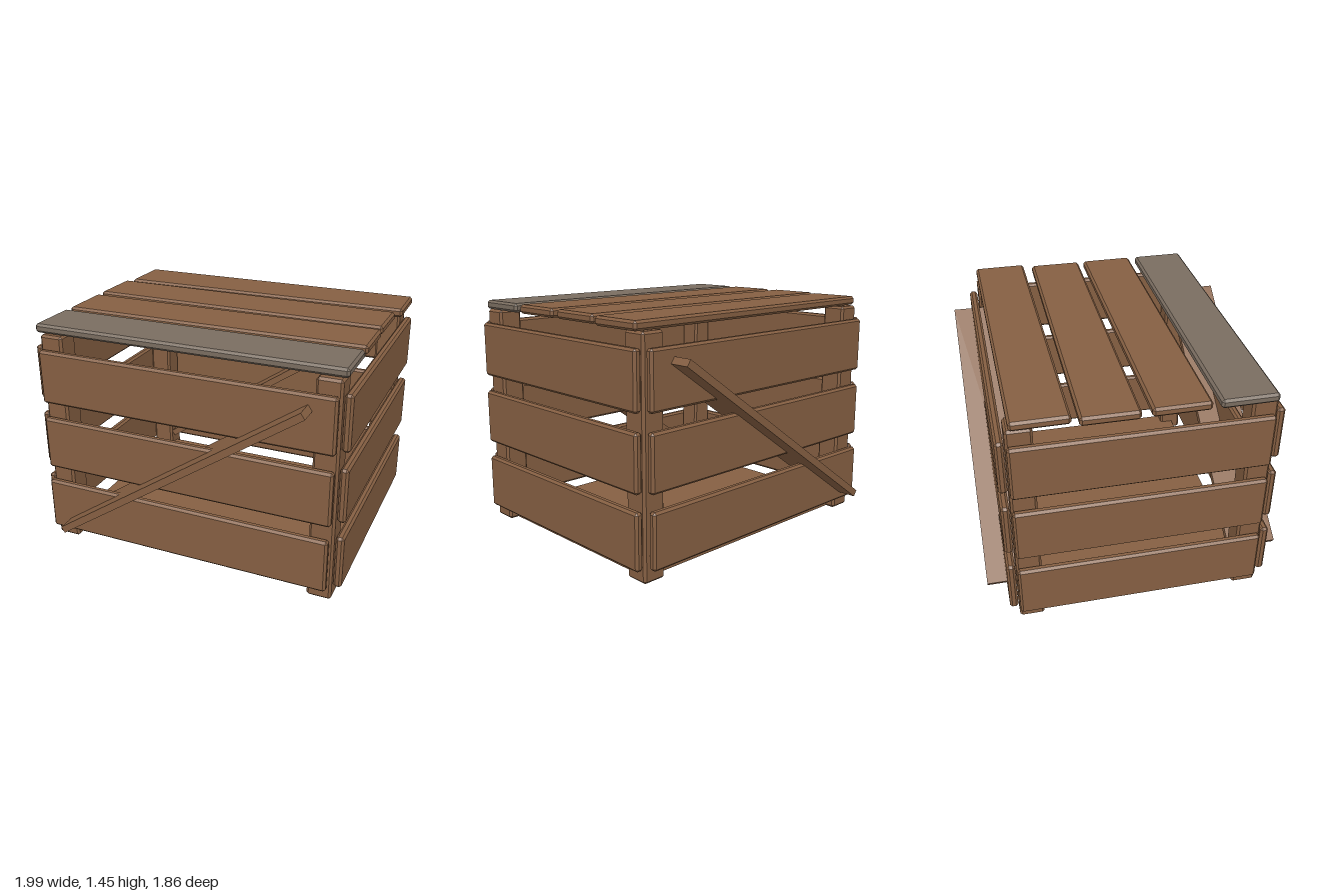
import * as THREE from 'three';
import { ConvexGeometry } from 'three/addons/geometries/ConvexGeometry.js';

// Box with every edge cut at 45 degrees
function chamferBox(w, h, d, c = 0.014) {
  const points = [];
  for (const sx of [-1, 1]) for (const sy of [-1, 1]) for (const sz of [-1, 1]) {
    const x = sx * w / 2, y = sy * h / 2, z = sz * d / 2;
    points.push(
      new THREE.Vector3(x, y - sy * c, z - sz * c),
      new THREE.Vector3(x - sx * c, y, z - sz * c),
      new THREE.Vector3(x - sx * c, y - sy * c, z));
  }
  return new ConvexGeometry(points);
}

export function createModel() {
  const crate = new THREE.Group();
  crate.name = 'crate';

  const wood = new THREE.MeshStandardMaterial({ color: 0x855f42 });
  wood.name = 'brown wood';
  const greyWood = new THREE.MeshStandardMaterial({ color: 0x7a6d60 });
  greyWood.name = 'weathered grey wood';

  const add = (name, geometry, x, y, z, material = wood) => {
    const mesh = new THREE.Mesh(geometry, material);
    mesh.name = name;
    mesh.position.set(x, y, z);
    crate.add(mesh);
    return mesh;
  };

  // Floor panel
  add('floor', new THREE.BoxGeometry(1.76, 0.06, 1.38), 0, 0.035, 0);

  // Corner posts
  const post = chamferBox(0.15, 1.39, 0.15);
  for (const sx of [-1, 1]) for (const sz of [-1, 1])
    add('cornerPost', post, sx * 0.867, 0.695, sz * 0.677);

  // Three rows of slats around the sides
  const longSlat = chamferBox(1.86, 0.34, 0.05);
  const shortSlat = chamferBox(0.05, 0.34, 1.48);
  const rows = [[0.255, -0.01], [0.695, 0], [1.138, 0.003]];
  for (const [y, shift] of rows) {
    add('frontSlat', longSlat, shift, y, 0.783);
    add('backSlat', longSlat, shift, y, -0.783);
    add('leftSlat', shortSlat, 0.97, y, -0.008);
    add('rightSlat', shortSlat, -0.97, y, -0.008);
  }

  // Lid planks, each laid slightly askew: centre x, centre z, yaw
  const lidPlank = chamferBox(1.945, 0.055, 0.332);
  const lid = [
    [0.017, -0.572, 0.008],
    [-0.015, -0.193, -0.004],
    [-0.01, 0.188, 0.006],
    [-0.01, 0.567, 0.006],
  ];
  lid.forEach(([x, z, yaw], i) => {
    const last = i === lid.length - 1;
    const plank = add(last ? 'greyLidPlank' : 'lidPlank', lidPlank, x, 1.422, z, last ? greyWood : wood);
    plank.rotation.y = yaw;
  });

  // Diagonal braces set edge-on through the front and back
  const brace = new THREE.BoxGeometry(1.905, 0.044, 0.31);
  for (const sz of [-1, 1])
    add(sz > 0 ? 'frontBrace' : 'backBrace', brace, 0, 0.695, sz * 0.773).rotation.z = Math.atan2(1.08, 1.57);

  return crate;
}
